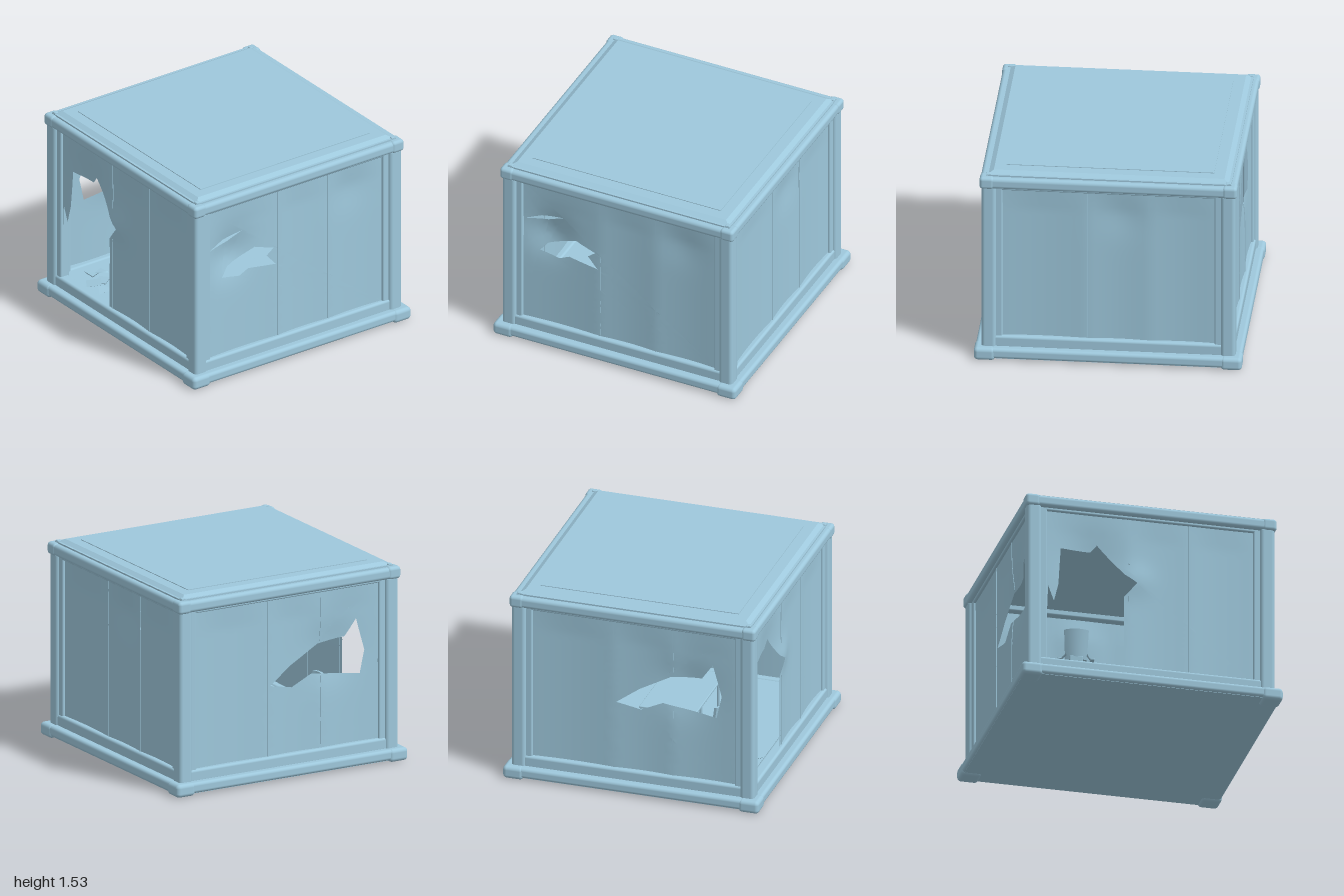
import * as THREE from 'three';
import { mergeVertices } from 'three/addons/utils/BufferGeometryUtils.js';
import { RoundedBoxGeometry } from 'three/addons/geometries/RoundedBoxGeometry.js';

const paleBlue = new THREE.MeshStandardMaterial({ color: 0x9ec8dc, side: THREE.DoubleSide });
paleBlue.name = 'pale blue';

function add(parent, name, geometry, x = 0, y = 0, z = 0) {
  const mesh = new THREE.Mesh(geometry, paleBlue);
  mesh.name = name;
  mesh.position.set(x, y, z);
  parent.add(mesh);
  return mesh;
}

const soft = (w, h, d, r = 0.015) => new RoundedBoxGeometry(w, h, d, 3, r);
const point = (u, v) => new THREE.Vector2(u, v);
const dent = (u, v, radius, push) => ({ u, v, radius, push });

// Outward offset of a wall sheet: each panel is slightly cupped, torn areas are pushed in
const SEAMS = [-0.8, -0.16, 0.3, 0.8];
function wallDepth(u, v, dents) {
  let depth = 0.905;
  for (let i = 0; i < 3; i++) {
    const t = (u - SEAMS[i]) / (SEAMS[i + 1] - SEAMS[i]);
    if (t > 0 && t < 1) depth -= 0.012 * Math.sin(Math.PI * t) * Math.min(1, Math.max(0, (1.42 - v) * 5));
  }
  for (const d of dents) {
    depth -= d.push * Math.exp(-((u - d.u) ** 2 + (v - d.v) ** 2) / d.radius ** 2);
  }
  return depth;
}

// Split long edges of a flat shape so that it can be bent smoothly
function subdivide(shape, maxEdge) {
  const flat = new THREE.ShapeGeometry(shape).toNonIndexed().attributes.position;
  const stack = [];
  const out = [];
  const at = (i) => point(flat.getX(i), flat.getY(i));
  for (let i = 0; i < flat.count; i += 3) stack.push([at(i), at(i + 1), at(i + 2)]);
  while (stack.length) {
    let [a, b, c] = stack.pop();
    const ab = a.distanceTo(b), bc = b.distanceTo(c), ca = c.distanceTo(a);
    const longest = Math.max(ab, bc, ca);
    if (longest < maxEdge) {
      for (const p of [a, b, c]) out.push(p.x, p.y, 0);
      continue;
    }
    if (longest === bc) [a, b, c] = [b, c, a];
    else if (longest === ca) [a, b, c] = [c, a, b];
    const m = a.clone().add(b).multiplyScalar(0.5);
    stack.push([a, m, c], [m, b, c]);
  }
  const geometry = new THREE.BufferGeometry();
  geometry.setAttribute('position', new THREE.Float32BufferAttribute(out, 3));
  return mergeVertices(geometry, 1e-5);
}

function bend(geometry, dents) {
  const pos = geometry.attributes.position;
  for (let i = 0; i < pos.count; i++) {
    pos.setZ(i, pos.getZ(i) + wallDepth(pos.getX(i), pos.getY(i), dents));
  }
  geometry.computeVertexNormals();
  return geometry;
}

// One side of the cabin with its trim; u runs rightwards as seen from outside
function buildSide(name, angle, holes, dents) {
  const side = new THREE.Group();
  side.name = name;
  side.rotation.y = angle;
  const shape = new THREE.Shape([point(-0.82, 0.15), point(0.82, 0.15), point(0.82, 1.42), point(-0.82, 1.42)]);
  for (const hole of holes) shape.holes.push(new THREE.Path(hole));
  add(side, 'wallSheet', bend(subdivide(shape, 0.07), dents));
  for (const s of [-1, 1]) add(side, 'sideTrim', soft(0.06, 1.33, 0.08, 0.012), s * 0.82, 0.755, 0.884);
  add(side, 'sill', soft(1.72, 0.1, 0.09, 0.02), 0, 0.13, 0.89);
  add(side, 'headTrim', soft(1.72, 0.05, 0.08, 0.012), 0, 1.41, 0.884);
  add(side, 'topRail', soft(1.9, 0.088, 0.11, 0.028), 0, 1.449, 0.902);
  add(side, 'baseRail', soft(1.96, 0.082, 0.14, 0.025), 0, 0.057, 0.924);

  // Narrow ridge along a panel joint between two heights
  const seam = (u, low, high) => {
    const strip = new THREE.BoxGeometry(0.008, high - low, 0.008, 1, 16, 1);
    strip.translate(u, (low + high) / 2, 0);
    add(side, 'seamStrip', bend(strip, dents));
  };
  return { side, seam };
}

// Office chair facing -z, wheels standing on y = 0
function buildChair(name) {
  const chair = new THREE.Group();
  chair.name = name;
  add(chair, 'seat', soft(0.19, 0.035, 0.17, 0.012), 0, 0.145, 0);
  const backGeometry = new THREE.BoxGeometry(0.185, 0.23, 0.02, 8, 8, 1);
  const pos = backGeometry.attributes.position;
  for (let i = 0; i < pos.count; i++) {
    const x = pos.getX(i), y = pos.getY(i);
    pos.setX(i, x * (0.93 + y * 0.5));
    pos.setZ(i, pos.getZ(i) - 3 * x * x + 0.16 * y);
  }
  backGeometry.computeVertexNormals();
  add(chair, 'backrest', backGeometry, 0, 0.325, 0.105);
  add(chair, 'backSupport', soft(0.1, 0.1, 0.018, 0.006), 0, 0.185, 0.09);
  add(chair, 'gasLift', new THREE.CylinderGeometry(0.018, 0.022, 0.1, 12), 0, 0.085, 0);
  for (const s of [-1, 1]) {
    const path = new THREE.CatmullRomCurve3([
      new THREE.Vector3(s * 0.08, 0.13, 0),
      new THREE.Vector3(s * 0.12, 0.15, 0),
      new THREE.Vector3(s * 0.125, 0.215, 0.01),
      new THREE.Vector3(s * 0.08, 0.24, 0.1),
    ]);
    add(chair, 'armSupport', new THREE.TubeGeometry(path, 20, 0.008, 6));
    add(chair, 'armPad', soft(0.03, 0.014, 0.12, 0.005), s * 0.122, 0.225, 0.01);
  }
  for (let i = 0; i < 5; i++) {
    const spoke = new THREE.Group();
    spoke.name = 'wheelBaseArm';
    spoke.rotation.y = (i * Math.PI * 2) / 5;
    add(spoke, 'foot', soft(0.02, 0.018, 0.1, 0.005), 0, 0.045, 0.05);
    add(spoke, 'castor', new THREE.CylinderGeometry(0.02, 0.02, 0.02, 10).rotateZ(Math.PI / 2), 0, 0.02, 0.085);
    chair.add(spoke);
  }
  return chair;
}

export function createModel() {
  const cabin = new THREE.Group();
  cabin.name = 'damagedCabin';

  // Base, floor and roof
  add(cabin, 'baseSlab', new THREE.BoxGeometry(1.95, 0.06, 1.95), 0, 0.044, 0);
  add(cabin, 'floor', new THREE.BoxGeometry(1.72, 0.09, 1.72), 0, 0.125, 0);
  add(cabin, 'roofSlab', new THREE.BoxGeometry(1.83, 0.08, 1.83), 0, 1.465, 0);
  const slope = new THREE.CylinderGeometry(0.86 * Math.SQRT2, 0.915 * Math.SQRT2, 0.03, 4, 1).rotateY(Math.PI / 4).toNonIndexed();
  slope.computeVertexNormals();
  add(cabin, 'roofBorder', slope, 0, 1.51, 0);
  add(cabin, 'roofPanel', new THREE.BoxGeometry(1.55, 0.012, 1.55), 0, 1.524, 0);

  // Corner posts, feet and caps
  for (const x of [-1, 1]) for (const z of [-1, 1]) {
    add(cabin, 'cornerPost', soft(0.11, 1.36, 0.11, 0.028), x * 0.893, 0.75, z * 0.893);
    add(cabin, 'cornerFoot', soft(0.16, 0.1, 0.16, 0.03), x * 0.92, 0.05, z * 0.92);
    add(cabin, 'cornerCap', soft(0.11, 0.095, 0.11, 0.025), x * 0.906, 1.45, z * 0.906);
    add(cabin, 'roofClip', soft(0.035, 0.02, 0.035, 0.005), x * 0.895, 1.503, z * 0.895);
  }

  // Front, torn open from the floor upwards
  const frontHole = [point(-0.805, 0.165), point(-0.2, 0.165), point(-0.2, 0.75), point(-0.1, 0.87), point(-0.19, 0.93),
    point(-0.4, 1.16), point(-0.45, 1.1), point(-0.68, 1.1), point(-0.7, 0.8), point(-0.735, 0.66), point(-0.78, 0.78)];
  const front = buildSide('frontSide', 0, [frontHole], [dent(-0.45, 1.02, 0.2, 0.03), dent(-0.1, 0.9, 0.12, -0.02)]);
  front.seam(-0.16, 0.17, 0.76);
  front.seam(-0.16, 1.02, 1.4);
  front.seam(0.3, 0.17, 1.4);

  // Right, with a wide tear and a slit above it
  const tear = [point(-0.66, 0.8), point(-0.5, 0.77), point(-0.42, 0.81), point(-0.18, 0.78), point(-0.26, 0.87),
    point(-0.2, 0.92), point(-0.36, 0.97), point(-0.6, 0.87)];
  const slit = [point(-0.78, 1.06), point(-0.6, 1.08), point(-0.47, 1.14), point(-0.65, 1.11)];
  const right = buildSide('rightSide', Math.PI / 2, [tear, slit], [dent(-0.58, 0.98, 0.17, 0.045), dent(0.5, 1.2, 0.16, 0.012)]);

  const back = buildSide('backSide', Math.PI, [], [dent(0.1, 1.2, 0.16, 0.012)]);
  for (const wall of [right, back]) for (const u of [-0.16, 0.3]) wall.seam(u, 0.17, 1.4);

  // Left, with a tear across two panels
  const leftHole = [point(-0.14, 0.72), point(0.05, 0.68), point(0.22, 0.76), point(0.64, 0.7), point(0.68, 0.88),
    point(0.61, 1.13), point(0.52, 1.0), point(0.28, 0.98), point(0.04, 0.85)];
  const left = buildSide('leftSide', -Math.PI / 2, [leftHole], [dent(0.4, 0.92, 0.2, 0.035)]);
  left.seam(-0.16, 0.17, 1.4);
  left.seam(0.3, 0.17, 0.74);
  left.seam(0.3, 1, 1.4);
  for (const wall of [front, right, back, left]) cabin.add(wall.side);

  // Furniture inside
  const nearChair = buildChair('nearChair');
  nearChair.position.set(-0.455, 0.17, 0.44);
  nearChair.rotation.y = -0.15;
  const farChair = buildChair('farChair');
  farChair.position.set(-0.61, 0.17, 0.08);
  farChair.rotation.y = -Math.PI / 2;
  farChair.scale.setScalar(0.85);
  cabin.add(nearChair, farChair);
  add(cabin, 'tableTop', soft(0.72, 0.02, 0.44, 0.006), 0, 0.42, 0.08);
  for (const x of [-0.1, 0.32]) for (const z of [-0.1, 0.26]) {
    add(cabin, 'tableLeg', new THREE.CylinderGeometry(0.012, 0.012, 0.25, 8), x, 0.29, z);
  }

  // Broken sheet pieces lying on the floor
  for (let i = 0; i < 7; i++) {
    const shard = add(cabin, 'shard', new THREE.CylinderGeometry(0.05 + (i % 3) * 0.015, 0.06, 0.008, 3 + (i % 2)),
      -0.7 + (i % 4) * 0.13, 0.18, 0.62 + (i % 3) * 0.08);
    shard.rotation.set(0.1 * (i % 2), i * 1.3, 0.08);
  }
  return cabin;
}
